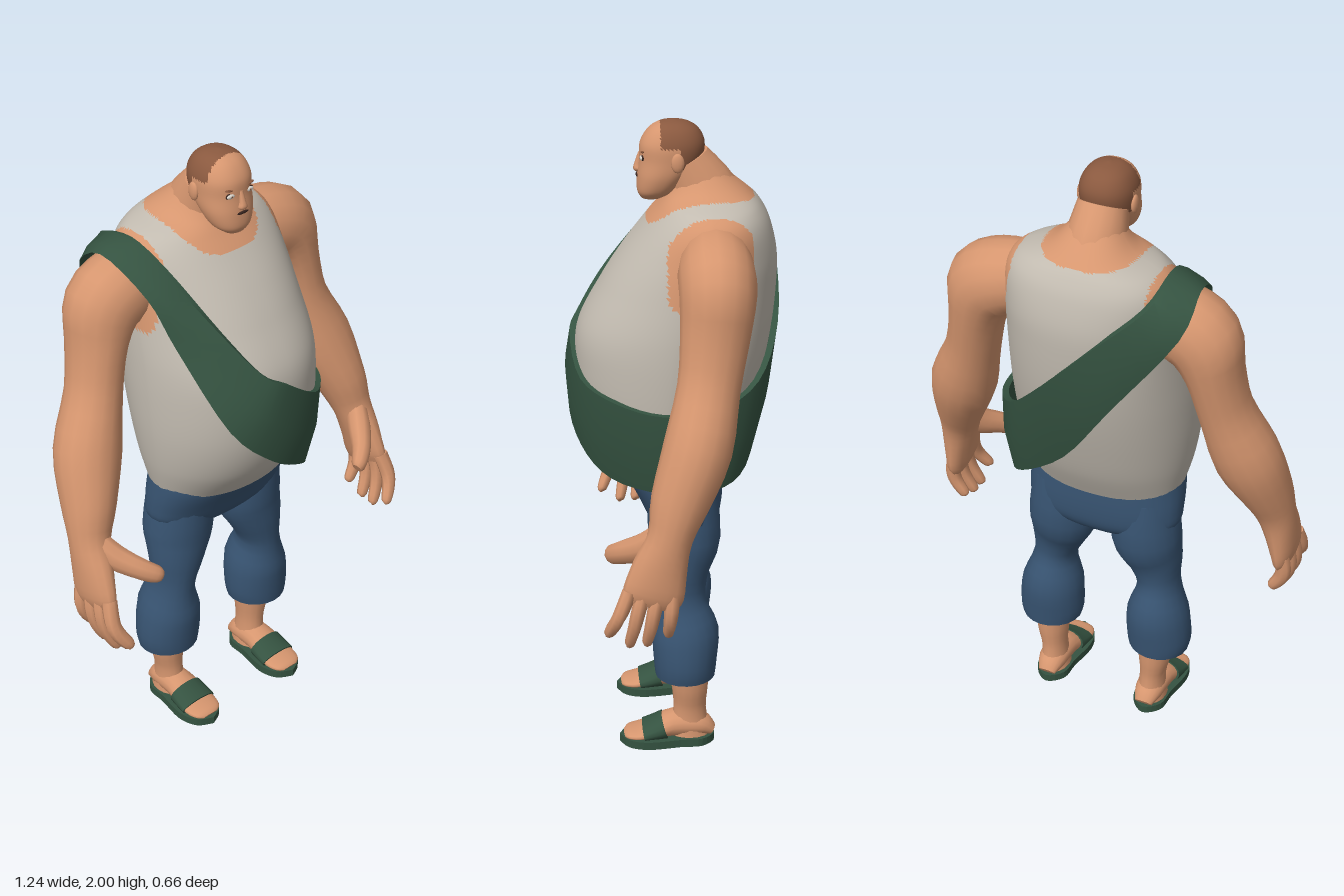
import * as THREE from 'three';
import { toCreasedNormals } from 'three/addons/utils/BufferGeometryUtils.js';

const mat = (name, color) => Object.assign(new THREE.MeshStandardMaterial({ color }), { name });

// Catmull-Rom refinement of rows of numbers, k steps per span
function refine(rows, k, closed = false) {
  const n = rows.length, out = [];
  const at = i => rows[closed ? (i + n) % n : Math.min(n - 1, Math.max(0, i))];
  for (let i = 0; i < (closed ? n : n - 1); i++) {
    for (let s = 0; s < k; s++) {
      const t = s / k, [a, b, c, d] = [at(i - 1), at(i), at(i + 1), at(i + 2)];
      out.push(b.map((p, j) => p + 0.5 * t * (c[j] - a[j] + t * (2 * a[j] - 5 * p + 4 * c[j] - d[j]
        + t * (3 * (p - c[j]) + d[j] - a[j])))));
    }
  }
  if (!closed) out.push(rows[n - 1]);
  return out;
}

// Skin a list of point rings; rule(x, y, z) picks the material index of each face
function loft(rings, { closed = false, side = 1, rule = null } = {}) {
  const n = rings[0].length, pos = [], tris = [];
  const add = ring => ring.forEach(p => pos.push(p[0] * side, p[1], p[2]));
  rings.forEach(add);
  for (let i = 0; i < rings.length - (closed ? 0 : 1); i++) {
    const a = i * n, b = ((i + 1) % rings.length) * n;
    for (let j = 0; j < n; j++) {
      const k = (j + 1) % n;
      tris.push([a + j, a + k, b + j], [a + k, b + k, b + j]);
    }
  }
  if (!closed) [rings[0], rings[rings.length - 1]].forEach((ring, e) => {
    const s = pos.length / 3;
    add(ring);
    for (let j = 1; j < n - 1; j++) tris.push(e ? [s, s + j, s + j + 1] : [s, s + j + 1, s + j]);
  });
  // make the faces point outward
  const v = i => new THREE.Vector3(pos[3 * i], pos[3 * i + 1], pos[3 * i + 2]);
  const volume = tris.reduce((sum, [a, b, c]) => sum + v(a).dot(v(b).cross(v(c))), 0);
  if (volume < 0) tris.forEach(t => t.reverse());
  const groups = [[], []];
  tris.forEach(t => {
    const c = v(t[0]).add(v(t[1])).add(v(t[2])).divideScalar(3);
    groups[rule ? rule(c.x, c.y, c.z) : 0].push(...t);
  });
  const g = new THREE.BufferGeometry();
  g.setAttribute('position', new THREE.Float32BufferAttribute(pos, 3));
  g.setIndex(groups.flat());
  if (rule) {
    g.addGroup(0, groups[0].length, 0);
    g.addGroup(groups[0].length, groups[1].length, 1);
  }
  g.computeVertexNormals();
  return g;
}

// Horizontal body slice: [y, halfWidth, frontZ, backZ]; a higher front exponent is more pointed
const pw = (v, e) => Math.sign(v) * Math.abs(v) ** e;
const slicePoint = ([y, w, zf, zb], a, front) => [w * pw(Math.sin(a), 0.9), y,
  (zf + zb) / 2 + (zf - zb) / 2 * pw(Math.cos(a), Math.cos(a) > 0 ? front : 0.9)];
const slices = (rows, k, n, { front = 0.9, rule } = {}) => loft(refine(rows, k).map(r =>
  Array.from({ length: n }, (_, j) => slicePoint(r, j / n * Math.PI * 2, front))), { rule });

// Limb along a path: [x, y, z, radius, radius along the given axis]
function limb(rows, { k = 3, n = 16, axis = [0, 0, 1], side = 1 } = {}) {
  const r = refine(rows, k), up = new THREE.Vector3(...axis);
  const P = i => new THREE.Vector3(...r[Math.max(0, Math.min(r.length - 1, i))].slice(0, 3));
  return loft(r.map((row, i) => {
    const t = P(i + 1).sub(P(i - 1)).normalize();
    const b = up.clone().addScaledVector(t, -t.dot(up)).normalize();
    const m = b.clone().cross(t), c = P(i);
    return Array.from({ length: n }, (_, j) => {
      const a = j / n * Math.PI * 2;
      return c.clone().addScaledVector(m, row[3] * Math.cos(a))
        .addScaledVector(b, row[4] * Math.sin(a)).toArray();
    });
  }), { side });
}

export function createModel() {
  const model = new THREE.Group();
  const skin = mat('skin', 0xd6966f), shirt = mat('shirt', 0xc2bbb0), denim = mat('denim', 0x385472);
  const green = mat('green cloth', 0x355341), hair = mat('hair', 0x8a593f);
  const white = mat('eye white', 0xdedad2), dark = mat('dark', 0x3a2620);
  const add = (name, geo, m, parent = model) => {
    const mesh = new THREE.Mesh(geo, m);
    mesh.name = name;
    parent.add(mesh);
    return mesh;
  };

  // Torso in a vest, bare at the neckline and armholes
  const bare = (x, y, z) => {
    const neckline = y > 1.6 && Math.abs(x / 0.15) ** 2.6 + Math.abs((z + 0.085) / 0.165) ** 2.6 < 1;
    const armhole = y > 1.48 && z < 0.022 && z > -0.235 && Math.abs(x) > 0.218 + Math.max(0, 1.66 - y) * 0.35;
    return neckline || armhole ? 1 : 0;
  };
  add('torso', slices([
    [0.895, 0.25, 0.165, -0.16], [1.0, 0.275, 0.24, -0.21], [1.12, 0.29, 0.285, -0.25],
    [1.25, 0.295, 0.30, -0.285], [1.37, 0.293, 0.288, -0.308], [1.5, 0.285, 0.22, -0.32],
    [1.6, 0.28, 0.155, -0.32], [1.69, 0.27, 0.085, -0.3], [1.745, 0.228, 0.04, -0.272],
    [1.785, 0.135, 0.012, -0.235], [1.83, 0.085, -0.01, -0.18], [1.87, 0.06, -0.03, -0.13],
  ], 9, 96, { front: 1.15, rule: bare }), [shirt, skin]);

  // Neck and head
  add('neck', limb([[0, 1.7, -0.12, 0.1, 0.11], [0, 1.78, -0.095, 0.094, 0.105],
    [0, 1.88, -0.045, 0.078, 0.072]]), skin);
  const headRows = [
    [1.762, 0.035, 0.092, 0.03], [1.785, 0.062, 0.104, -0.01], [1.83, 0.08, 0.104, -0.05],
    [1.88, 0.085, 0.098, -0.09], [1.93, 0.085, 0.095, -0.1], [1.97, 0.068, 0.072, -0.083],
    [1.992, 0.04, 0.04, -0.05], [2.0, 0.004, 0.004, -0.008]];
  add('head', slices(headRows, 6, 64, {
    rule: (x, y, z) => (y > 1.925 && z < 0.035) || (y > 1.865 && z < -0.025) ? 1 : 0,
  }), [skin, hair]);
  const blob = (name, m, p, s, rz = 0) => {
    const b = add(name, new THREE.SphereGeometry(1, 12, 8), m);
    b.position.set(...p);
    b.scale.set(...s);
    b.rotation.z = rz;
  };
  add('nose', limb([[0, 1.9, 0.092, 0.007, 0.008], [0, 1.865, 0.1, 0.011, 0.012],
    [0, 1.85, 0.102, 0.017, 0.013], [0, 1.843, 0.1, 0.008, 0.006]], { n: 8 }), skin);
  blob('mouth', dark, [0, 1.832, 0.104], [0.022, 0.005, 0.004]);
  for (const s of [1, -1]) {
    blob('ear', skin, [s * 0.087, 1.885, -0.015], [0.01, 0.03, 0.02]);
    blob('eyeOutline', dark, [s * 0.036, 1.891, 0.088], [0.018, 0.0095, 0.005]);
    blob('eye', white, [s * 0.036, 1.891, 0.091], [0.0155, 0.0075, 0.006]);
    blob('pupil', hair, [s * 0.036, 1.891, 0.095], [0.0035, 0.0035, 0.003]);
    blob('eyebrow', hair, [s * 0.037, 1.909, 0.088], [0.019, 0.0035, 0.006], s * 0.15);
  }

  // Trousers: hips
  add('hips', slices([[0.95, 0.25, 0.16, -0.155], [0.9, 0.256, 0.155, -0.16], [0.82, 0.26, 0.115, -0.16],
    [0.76, 0.25, 0.085, -0.15], [0.72, 0.18, 0.05, -0.12], [0.7, 0.06, 0.01, -0.07]], 4, 32), denim);

  for (const side of [1, -1]) {
    const tag = side > 0 ? 'left' : 'right';
    const arm = new THREE.Group(), leg = new THREE.Group();
    arm.name = tag + 'Arm';
    leg.name = tag + 'Leg';
    model.add(arm, leg);

    // Arm and palm
    add('arm', limb([
      [0.19, 1.62, -0.12, 0.112, 0.1], [0.28, 1.603, -0.12, 0.12, 0.115], [0.355, 1.557, -0.12, 0.124, 0.114],
      [0.392, 1.45, -0.11, 0.09, 0.104], [0.425, 1.3, -0.09, 0.085, 0.094], [0.483, 1.13, -0.055, 0.107, 0.103],
      [0.53, 0.98, 0, 0.084, 0.088], [0.555, 0.88, 0.03, 0.064, 0.068], [0.57, 0.79, 0.06, 0.05, 0.082],
      [0.579, 0.71, 0.08, 0.038, 0.092], [0.579, 0.675, 0.09, 0.024, 0.08],
    ], { side }), skin, arm);
    // Fingers: base z, tip z, tip y
    [[0.15, 0.212, 0.575], [0.108, 0.15, 0.54], [0.064, 0.098, 0.543], [0.022, 0.035, 0.57]]
      .forEach(([z0, z1, y1]) => add('finger', limb([
        [0.582, 0.72, z0, 0.026, 0.023], [0.592, 0.66, z0 * 0.6 + z1 * 0.4, 0.026, 0.022],
        [0.584, (0.66 + y1) / 2, z0 * 0.3 + z1 * 0.7, 0.024, 0.02],
        [0.557, y1, z1, 0.019, 0.016], [0.55, y1 - 0.01, z1, 0.006, 0.006],
      ], { side, n: 8 }), skin, arm));
    add('thumb', limb([
      [0.555, 0.885, 0.05, 0.035, 0.045], [0.522, 0.835, 0.105, 0.038, 0.044], [0.475, 0.8, 0.165, 0.031, 0.036],
      [0.435, 0.775, 0.197, 0.025, 0.03], [0.42, 0.766, 0.203, 0.016, 0.02],
    ], { side, n: 10, axis: [0, 1, 0] }), skin, arm);

    // Trouser leg with a baggy cuff
    add('trouserLeg', limb([
      [0.142, 0.86, -0.025, 0.1, 0.11], [0.146, 0.7, -0.035, 0.115, 0.112], [0.168, 0.6, -0.02, 0.094, 0.09],
      [0.186, 0.5, -0.02, 0.069, 0.08], [0.19, 0.4, -0.035, 0.1, 0.105],
      [0.195, 0.3, -0.035, 0.108, 0.1], [0.195, 0.25, -0.035, 0.1, 0.095],
    ], { side, n: 20 }), denim, leg);
    add('shin', limb([[0.187, 0.3, -0.045, 0.06, 0.064], [0.187, 0.2, -0.05, 0.053, 0.058],
      [0.182, 0.12, -0.05, 0.042, 0.052], [0.18, 0.03, -0.05, 0.05, 0.066]], { side }), skin, leg);

    // Foot, sole and strap of the sandal; profile rows: z, half width, top y
    const footRows = (rows, g) => rows.map(([z, w, top]) =>
      [0.18, (top + 0.02) / 2, z, w + g, (top - 0.02) / 2 + g]);
    const along = { side, axis: [0, 1, 0] };
    add('foot', limb(footRows([[-0.122, 0.03, 0.055], [-0.08, 0.047, 0.1], [0, 0.052, 0.108],
      [0.06, 0.06, 0.075], [0.11, 0.062, 0.052], [0.145, 0.05, 0.045], [0.158, 0.03, 0.035]], 0), along), skin, leg);
    add('strap', limb(footRows([[0.03, 0.057, 0.092], [0.06, 0.06, 0.075], [0.098, 0.062, 0.057]], 0.006), along),
      green, leg);
    const outline = new THREE.Shape(new THREE.SplineCurve([[0, -0.175], [0.05, -0.145], [0.07, -0.08], [0.056, 0.02],
      [0.05, 0.09], [0, 0.13], [-0.05, 0.09], [-0.056, 0.02], [-0.07, -0.08], [-0.05, -0.145], [0, -0.175]]
      .map(p => new THREE.Vector2(...p))).getPoints(40));
    const sole = new THREE.ExtrudeGeometry(outline, { depth: 0.026, bevelEnabled: false });
    sole.rotateX(-Math.PI / 2).translate(0.18 * side, 0, 0);
    add('sole', sole, green, leg);
  }

  // Sash from the right shoulder round the left hip: upper edge, lower edge
  const sash = refine([
    [-0.262, 1.75, -0.12, -0.35, 1.725, -0.13], [-0.242, 1.69, 0.02, -0.315, 1.63, 0.04],
    [-0.165, 1.52, 0.19, -0.275, 1.48, 0.12], [-0.08, 1.385, 0.288, -0.21, 1.24, 0.285],
    [0, 1.33, 0.315, -0.07, 1.09, 0.322], [0.14, 1.23, 0.285, 0.08, 0.99, 0.285],
    [0.26, 1.19, 0.18, 0.19, 0.92, 0.195], [0.325, 1.17, 0.04, 0.285, 0.905, 0.04],
    [0.312, 1.18, -0.12, 0.28, 0.91, -0.12], [0.215, 1.24, -0.255, 0.2, 0.96, -0.22],
    [0.08, 1.38, -0.322, 0.03, 1.1, -0.268], [-0.09, 1.56, -0.325, -0.14, 1.345, -0.3],
    [-0.235, 1.7, -0.268, -0.335, 1.62, -0.25],
  ], 4, true).map(r => {
    const u = r.slice(0, 3), l = r.slice(3), mid = u.map((c, i) => (c + l[i]) / 2);
    const push = (p, d) => {
      const h = Math.hypot(p[0], p[2]);
      return [p[0] * (1 + d / h), p[1], p[2] * (1 + d / h)];
    };
    return [u, push(mid, 0.012), l, push(l, -0.02), push(mid, -0.008), push(u, -0.02)];
  });
  add('sash', toCreasedNormals(loft(sash, { closed: true }), 0.8), green);

  return model;
}
